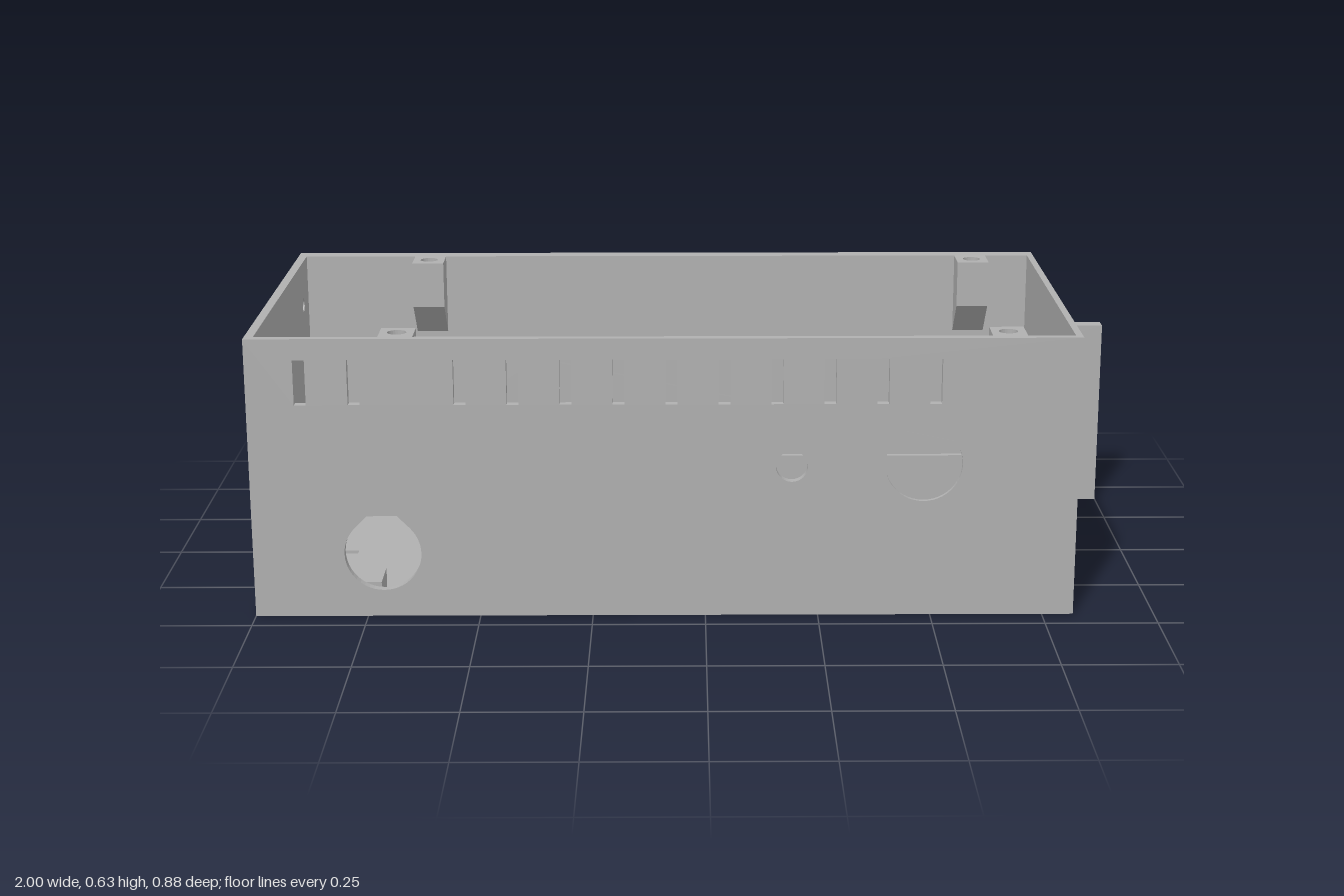
import * as THREE from 'three';

const W0 = -1, W1 = 0.82, H = 0.635;          // box x range and height
const IX0 = -0.98, IX1 = 0.805;               // inner x range
const Z0 = -0.44, Z1 = 0.44, IZ0 = -0.4, IZ1 = 0.42;
const FLOOR = 0.02;

// Rectangular outline
function rect(x0, y0, x1, y1) {
  return [[x0, y0], [x1, y0], [x1, y1], [x0, y1]];
}

// Round hole with a 45 degree roof, optionally cut flat at height `flat`
function teardrop(cx, cy, r, flat = r * Math.SQRT2) {
  const pts = [];
  const n = 36;
  for (let i = 0; i <= n; i++) {
    const a = Math.PI * (0.75 + 1.5 * i / n);
    pts.push([cx + r * Math.cos(a), cy + r * Math.sin(a)]);
  }
  const w = r * Math.SQRT2 - flat;
  if (w > 1e-5) pts.push([cx + w, cy + flat], [cx - w, cy + flat]);
  else pts.push([cx, cy + flat]);
  return pts;
}

function circle(cx, cy, r, n = 24) {
  return Array.from({ length: n }, (_, i) => {
    const a = 2 * Math.PI * i / n;
    return [cx + r * Math.cos(a), cy + r * Math.sin(a)];
  });
}

// Flat plate extruded along z from an outline with holes
function plate(outline, holes, depth) {
  const vec = (list) => list.map(([x, y]) => new THREE.Vector2(x, y));
  const shape = new THREE.Shape(vec(outline));
  for (const h of holes) shape.holes.push(new THREE.Path(vec(h)));
  return new THREE.ExtrudeGeometry(shape, { depth, bevelEnabled: false });
}

export function createModel() {
  const group = new THREE.Group();
  const grey = new THREE.MeshStandardMaterial({ color: 0xb0b0b0 });
  grey.name = 'plainGrey';

  const add = (name, geometry, x = 0, y = 0, z = 0) => {
    const mesh = new THREE.Mesh(geometry, grey);
    mesh.name = name;
    mesh.position.set(x, y, z);
    group.add(mesh);
    return mesh;
  };
  const box = (name, x0, x1, y0, y1, z0, z1) =>
    add(name, new THREE.BoxGeometry(x1 - x0, y1 - y0, z1 - z0),
      (x0 + x1) / 2, (y0 + y1) / 2, (z0 + z1) / 2);

  // Front wall: vent slots and round openings, the large one wider inside
  const slots = [-0.882, -0.765];
  for (let i = 0; i < 10; i++) slots.push(-0.535 + i * 0.1153);
  const frontHoles = (wide) => [
    ...slots.map((x) => rect(x - 0.013, 0.487, x + 0.013, 0.588)),
    teardrop(-0.713, 0.146, 0.085, 0.087),
    teardrop(0.19, 0.345, 0.035),
    teardrop(0.48, 0.35, 0.085 + wide, 0.087 + wide),
  ];
  const frontOutline = rect(W0, 0, W1, H);
  add('frontWallOuter', plate(frontOutline, frontHoles(0), 0.01), 0, 0, Z1 - 0.01);
  add('frontWallInner', plate(frontOutline, frontHoles(0.02), 0.01), 0, 0, IZ1);

  // Back wall with its mounting tab in one piece
  const backOutline = [[W0, 0], [1, 0], [1, 0.455], [W1, 0.455], [W1, H], [W0, H]];
  const backHoles = [[-0.42, 0.392], [0.91, 0.397], [0.91, 0.067]]
    .map(([x, y]) => teardrop(x, y, 0.023));
  add('backWallWithTab', plate(backOutline, backHoles, IZ0 - Z0), 0, 0, Z0);

  // Side walls are drawn in (z, y) and turned to face sideways
  const sideOutline = rect(IZ0, 0, IZ1, H);
  const backWindow = rect(-0.38, FLOOR, -0.25, 0.192);
  const house = [[0.152, FLOOR], [0.4, FLOOR], [0.4, 0.225], [0.276, 0.348], [0.152, 0.225]];
  const pinHoles = [
    [-0.319, 0.53, 0.015], [0.228, 0.53, 0.02], [0.379, 0.563, 0.015],
    [0.379, 0.302, 0.015], [-0.025, 0.056, 0.018], [0.106, 0.074, 0.015],
  ].map(([z, y, r]) => teardrop(z, y, r));
  add('leftWall', plate(sideOutline, [backWindow, house], W1 - IX1)
    .rotateY(-Math.PI / 2), W1);
  add('rightWall', plate(sideOutline,
    [backWindow, rect(0.285, FLOOR, 0.4, 0.225), ...pinHoles], IX0 - W0)
    .rotateY(-Math.PI / 2), IX0);

  // Floor with small tie slots, drawn in (x, -z)
  const ties = [
    [-0.84, 0.06], [-0.594, 0.06], [-0.84, 0.297], [-0.594, 0.297],
    [-0.375, -0.204], [-0.127, -0.204], [-0.375, 0.08], [-0.127, 0.08],
  ].map(([x, z]) => rect(x - 0.022, -z - 0.01, x + 0.022, -z + 0.01));
  add('floor', plate(rect(IX0, -IZ1, IX1, -IZ0), ties, FLOOR).rotateX(-Math.PI / 2));

  // Upright ribs
  box('longRib', -0.855, 0.03, FLOOR, 0.17, -0.238, -0.225);
  box('shortRib', 0.11, 0.765, FLOOR, 0.17, -0.238, -0.225);

  // Low support blocks on the floor
  const blocks = [
    [-0.592, -0.32], [-0.098, -0.32], [0.393, -0.32], [0.739, -0.32],
    [-0.755, 0.346], [-0.263, 0.346], [0.228, 0.346], [0.739, 0.27],
  ];
  for (const [x, z] of blocks)
    box('supportBlock', x - 0.031, x + 0.031, FLOOR, 0.063, z - 0.048, z + 0.048);

  // Lid screw posts: drilled top and a sloping underside
  const postH = 0.11, postD = 0.08, postW = 0.076;
  for (const x of [-0.673, 0.663]) {
    for (const side of [-1, 1]) {
      const wall = side < 0 ? IZ0 : IZ1;
      const inner = wall - side * postD;
      const zMid = (wall + inner) / 2;
      add('screwPost', plate(
        rect(x - postW / 2, -Math.max(wall, inner), x + postW / 2, -Math.min(wall, inner)),
        [circle(x, -zMid, 0.021)], postH).rotateX(-Math.PI / 2), 0, H - postH);
      add('screwPostSlope', plate(
        [[wall, H - postH], [inner, H - postH], [wall, H - postH - postD]], [], postW)
        .rotateY(-Math.PI / 2), x + postW / 2);
    }
  }
  return group;
}
